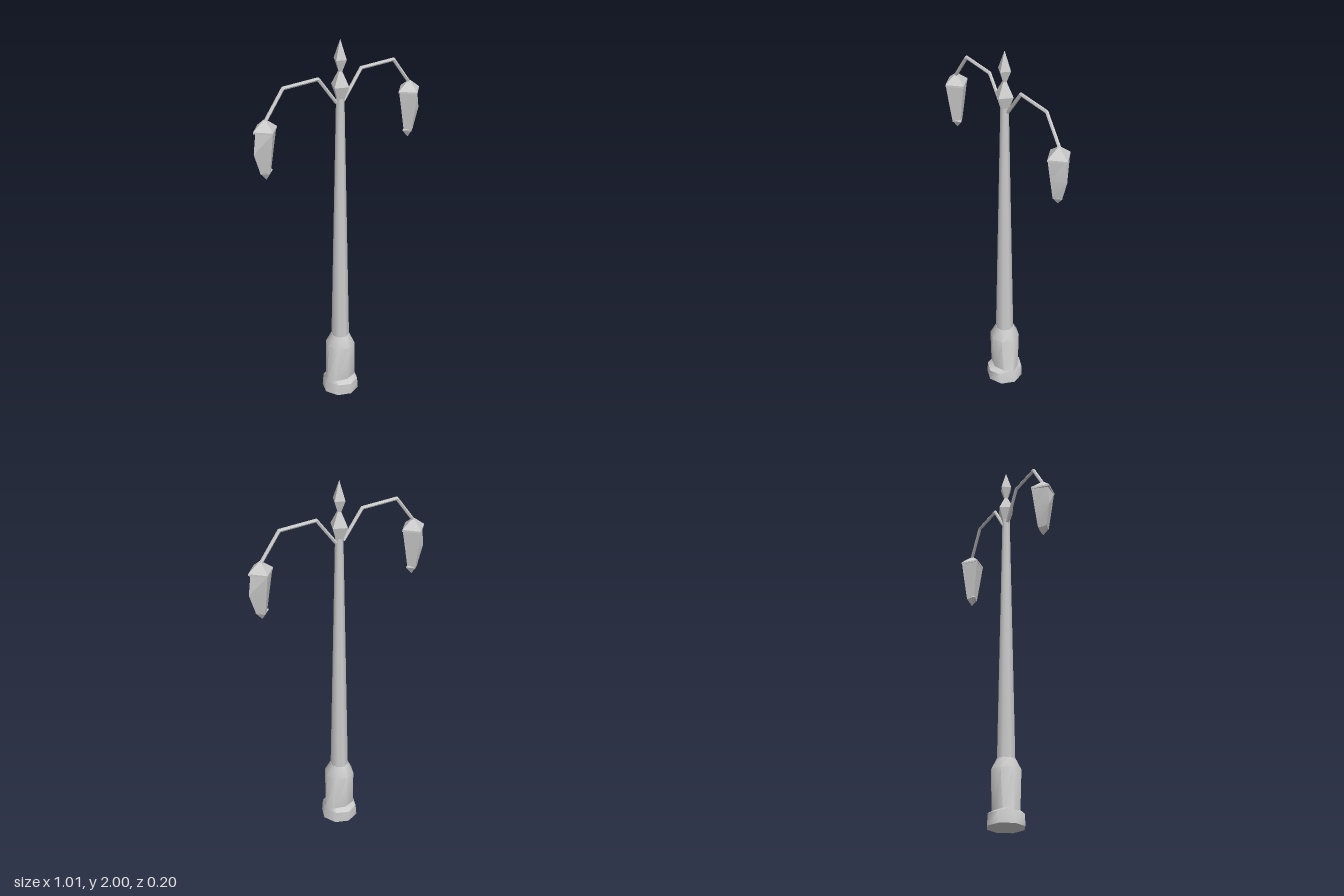
import * as THREE from 'three';
import { toCreasedNormals } from 'three/addons/utils/BufferGeometryUtils.js';

const metal = new THREE.MeshStandardMaterial({ color: 0xcccccc });
metal.name = 'pale grey metal';

function mesh(name, geometry, parent) {
  const m = new THREE.Mesh(geometry, metal);
  m.name = name;
  parent.add(m);
  return m;
}

// Skins closed rings of points, counter-clockwise seen from the end of the path, and caps both ends.
function loft(rings, crease = 0.3) {
  const n = rings[0].length;
  const index = [];
  for (let r = 0; r < rings.length - 1; r++) {
    for (let i = 0; i < n; i++) {
      const a = r * n + i, b = r * n + (i + 1) % n;
      index.push(a, b, b + n, a, b + n, a + n);
    }
  }
  const last = (rings.length - 1) * n;
  for (let i = 1; i < n - 1; i++) {
    index.push(0, i + 1, i, last, last + i, last + i + 1);
  }
  const g = new THREE.BufferGeometry();
  g.setAttribute('position', new THREE.Float32BufferAttribute(rings.flat(2), 3));
  g.setIndex(index);
  return toCreasedNormals(g, crease);
}

// Level ring with separate half widths towards +x, -x and z.
function ring(y, right, left, depth, sides) {
  return Array.from({ length: sides }, (_, i) => {
    const a = -i / sides * Math.PI * 2;
    const c = Math.cos(a);
    return [c * (c > 0 ? right : left), y, Math.sin(a) * depth];
  });
}

// Mitred tube along a polyline in the xy plane.
function pipe(points, radius, sides) {
  const pts = points.map(p => new THREE.Vector2(...p));
  const rings = pts.map((p, k) => {
    const before = p.clone().sub(pts[Math.max(k - 1, 0)]).normalize();
    const after = pts[Math.min(k + 1, pts.length - 1)].clone().sub(p).normalize();
    const dir = before.clone().add(after).normalize();
    const stretch = 1 / dir.dot(k ? before : after);
    return Array.from({ length: sides }, (_, i) => {
      const a = (i + 0.5) / sides * Math.PI * 2;
      const u = Math.cos(a) * radius * stretch;
      return [p.x - dir.y * u, p.y + dir.x * u, Math.sin(a) * radius];
    });
  });
  return loft(rings);
}

function createLantern() {
  const lantern = new THREE.Group();
  lantern.name = 'lantern';
  // Pyramid roof
  mesh('lanternRoof', loft([
    ring(1.635, 0.067, 0.067, 0.067, 4),
    ring(1.645, 0.067, 0.067, 0.067, 4),
    ring(1.69, 0.01, 0.01, 0.01, 4),
  ]), lantern);
  // Tapered body whose outer corner bulges
  mesh('lanternBody', loft([
    ring(1.42, 0.033, 0.027, 0.03, 4),
    ring(1.53, 0.068, 0.045, 0.048, 4),
    ring(1.64, 0.055, 0.064, 0.065, 4),
  ]), lantern);
  // Pointed drop underneath
  mesh('lanternDrop', loft([
    ring(1.385, 0.002, 0.002, 0.002, 4),
    ring(1.425, 0.037, 0.037, 0.03, 4),
    ring(1.433, 0.03, 0.03, 0.028, 4),
  ]), lantern);
  return lantern;
}

export function createModel() {
  const model = new THREE.Group();
  model.name = 'streetLamp';

  // Eight-sided pedestal, notched at the front and back above the foot
  mesh('pedestal', loft([
    ring(0, 0.098, 0.098, 0.098, 8),
    ring(0.062, 0.09, 0.09, 0.098, 8),
    ring(0.078, 0.087, 0.087, 0.066, 8),
    ring(0.285, 0.078, 0.078, 0.08, 8),
    ring(0.343, 0.05, 0.05, 0.05, 8),
  ], 0.9), model);

  // Tapered post
  const post = new THREE.CylinderGeometry(0.021, 0.048, 1.37, 8);
  mesh('post', post, model).position.y = 1.015;

  // Two stacked diamonds on top
  const profile = [[0, 1.675], [0.02, 1.685], [0.052, 1.765], [0.012, 1.838], [0.037, 1.9], [0, 2]]
    .map(p => new THREE.Vector2(...p));
  const finial = toCreasedNormals(new THREE.LatheGeometry(profile, 4), 0.3);
  mesh('finial', finial, model).rotation.y = 0.38;

  // Mirrored arms and lanterns
  for (const side of [1, -1]) {
    const arm = new THREE.Group();
    arm.name = side > 0 ? 'leftArm' : 'rightArm';
    const path = [[0.022, 1.68], [0.13, 1.825], [0.333, 1.825], [0.436, 1.685]];
    mesh('bracket', pipe(path, 0.009, 6), arm).position.z = -0.003;
    const lantern = createLantern();
    lantern.position.x = 0.437;
    arm.add(lantern);
    arm.rotation.y = side > 0 ? 0 : Math.PI;
    if (side < 0) arm.position.z = -0.006;
    model.add(arm);
  }
  return model;
}
